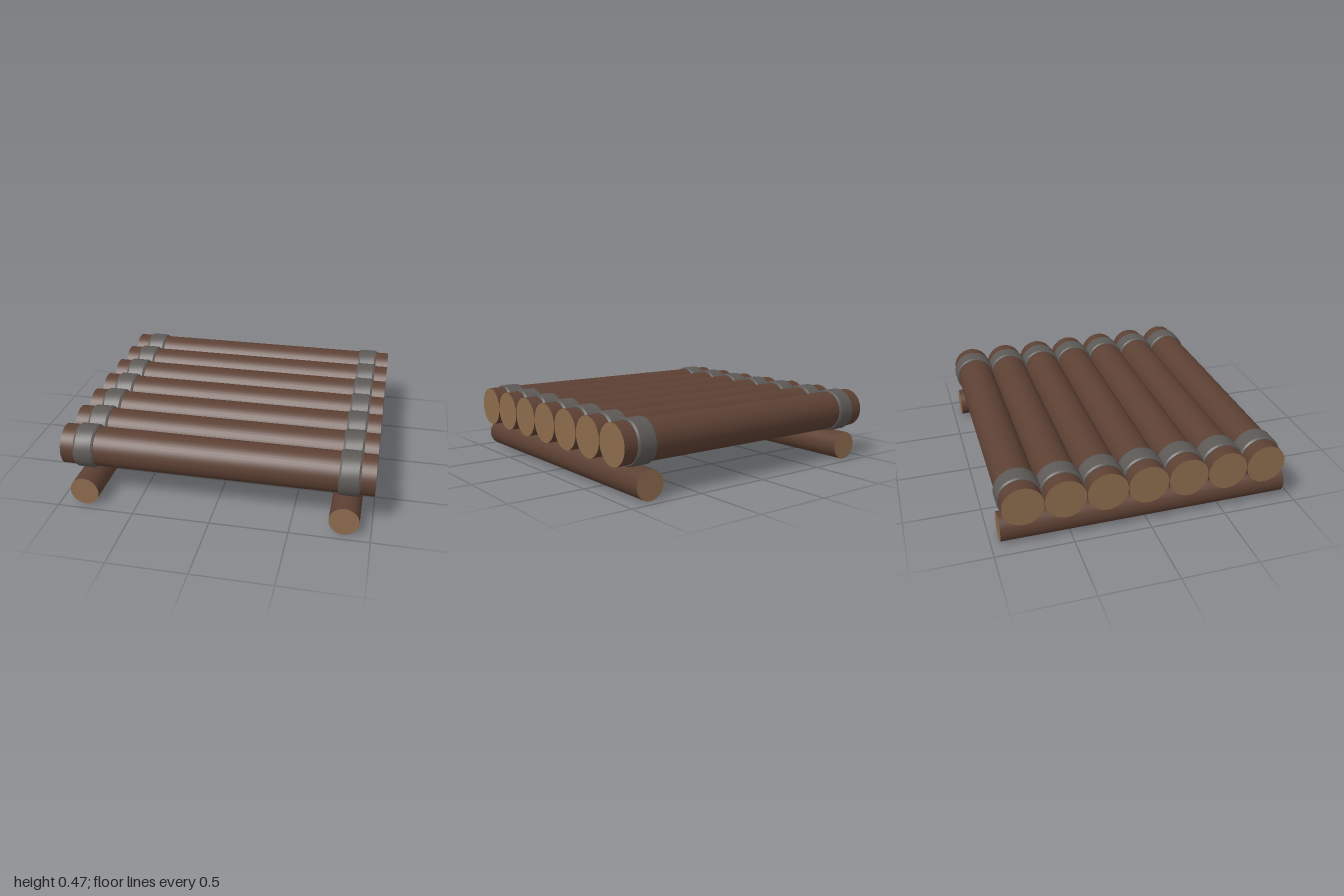
import * as THREE from 'three';
import { toCreasedNormals } from 'three/addons/utils/BufferGeometryUtils.js';

const material = (name, color) => {
  const m = new THREE.MeshStandardMaterial({ color });
  m.name = name;
  return m;
};

export function createModel() {
  const bark = material('bark', 0x5c4033);
  const cutWood = material('cut wood', 0x8b6b4d);
  const iron = material('band grey', 0x5c5855);

  const raft = new THREE.Group();
  raft.name = 'logRaft';

  const add = (name, geometry, materials, x, y, z) => {
    const mesh = new THREE.Mesh(geometry, materials);
    mesh.name = name;
    mesh.position.set(x, y, z);
    raft.add(mesh);
  };

  // Cylinder groups are side, top and bottom: bark with cut ends
  const logMaterials = [bark, cutWood, cutWood];
  const logGeometry = new THREE.CylinderGeometry(0.129, 0.129, 2, 40).rotateZ(Math.PI / 2);
  const runnerGeometry = new THREE.CylinderGeometry(0.094, 0.094, 1.893, 40).rotateX(Math.PI / 2);

  // Band with bevelled rims, closed down to the log's bark
  const profile = [
    [0.125, -0.066], [0.135, -0.066], [0.142, -0.053],
    [0.142, 0.053], [0.135, 0.066], [0.125, 0.066],
  ].map(([r, y]) => new THREE.Vector2(r, y));
  const bandGeometry = toCreasedNormals(
    new THREE.LatheGeometry(profile, 40).rotateZ(Math.PI / 2), Math.PI / 7);

  // Seven deck logs, each with a band near both ends
  for (let i = 0; i < 7; i++) {
    const z = 0.758 - i * 0.261;
    add(`deckLog${i + 1}`, logGeometry, logMaterials, 0, 0.328, z);
    for (const side of [-1, 1]) {
      add(`${side > 0 ? 'left' : 'right'}Band${i + 1}`, bandGeometry, iron, side * 0.845, 0.328, z);
    }
  }

  // Two thinner logs lying crosswise below the deck
  for (const side of [-1, 1]) {
    add(side > 0 ? 'leftRunner' : 'rightRunner', runnerGeometry, logMaterials, side * 0.832, 0.094, 0.0035);
  }

  return raft;
}
